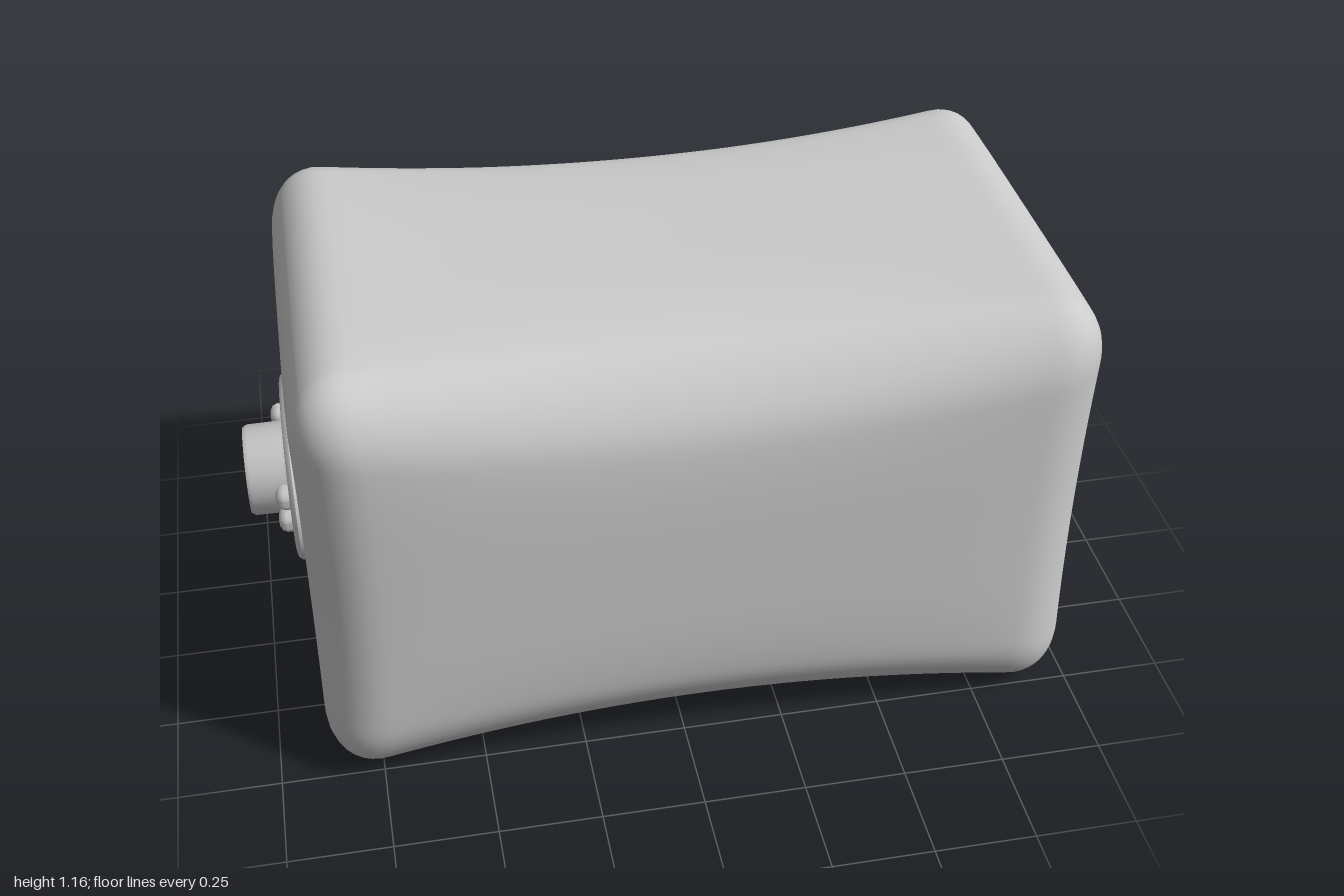
import * as THREE from 'three';
import { mergeVertices, toCreasedNormals } from 'three/addons/utils/BufferGeometryUtils.js';

const material = new THREE.MeshStandardMaterial({ color: 0xcccccc });

function addMesh(parent, name, geometry) {
  const mesh = new THREE.Mesh(geometry, material);
  mesh.name = name;
  parent.add(mesh);
  return mesh;
}

// Soft block with rounded edges that are pinched inwards along their middles
function bodyGeometry() {
  const half = new THREE.Vector3(0.93, 0.587, 0.571);
  const radius = new THREE.Vector3(0.14, 0.18, 0.13);
  const inner = half.clone().sub(radius);
  const box = new THREE.BoxGeometry(half.x * 2, half.y * 2, half.z * 2, 64, 44, 44);
  box.deleteAttribute('uv');
  box.deleteAttribute('normal');
  const geometry = mergeVertices(box);
  const pos = geometry.attributes.position;
  const p = new THREE.Vector3();
  const core = new THREE.Vector3();
  for (let i = 0; i < pos.count; i++) {
    p.fromBufferAttribute(pos, i);
    core.copy(p).clamp(inner.clone().negate(), inner);
    p.sub(core).divide(radius).normalize().multiply(radius).add(core);
    const u = p.x / half.x, v = p.y / half.y, w = p.z / half.z;
    const midX = 1 - u * u, midY = 1 - v * v;
    p.x -= u * midY * 0.02 * w ** 4;
    p.y -= v * midX * (0.022 + 0.06 * w ** 4);
    p.z -= w * (midX * (0.004 + 0.06 * v ** 4) + midY * 0.02 * u ** 6);
    pos.setXYZ(i, p.x, p.y, p.z);
  }
  geometry.computeVertexNormals();
  return geometry;
}

// Turned part whose axis points along -x, from [radius, height] pairs
function turned(profile, segments = 48) {
  const points = profile.map(([r, h]) => new THREE.Vector2(r, h));
  return toCreasedNormals(new THREE.LatheGeometry(points, segments).rotateZ(Math.PI / 2), 0.7);
}

export function createModel() {
  const model = new THREE.Group();
  model.name = 'pillowBlock';

  addMesh(model, 'body', bodyGeometry()).position.set(0.05, 0.587, 0);

  // Low arched pad on the +x end
  const arc = new THREE.Shape();
  arc.moveTo(0.97, 0.33);
  arc.lineTo(0.978, 0.33);
  arc.quadraticCurveTo(1.008, 0.59, 0.978, 0.85);
  arc.lineTo(0.97, 0.85);
  arc.closePath();
  const pad = new THREE.ExtrudeGeometry(arc, {
    depth: 0.1, curveSegments: 24, bevelThickness: 0.012, bevelSize: 0.005, bevelSegments: 3,
  });
  addMesh(model, 'endPad', toCreasedNormals(pad.translate(0, 0, -0.05), 0.6));

  // Flanged spout on the -x end
  const spout = new THREE.Group();
  spout.name = 'spout';
  spout.position.set(0, 0.59, 0);
  model.add(spout);

  // Oval flange with a raised rim
  const flange = turned([
    [1, 0.86], [1, 0.888], [0.97, 0.897], [0.92, 0.9], [0.86, 0.897], [0.82, 0.888], [0, 0.888],
  ], 64);
  addMesh(spout, 'flange', flange).scale.set(1, 0.213, 0.26);

  // Hollow neck with a small fillet at its base
  addMesh(spout, 'neck', turned([
    [0.14, 0.885], [0.122, 0.892], [0.113, 0.91], [0.112, 0.99], [0.106, 1],
    [0.09, 1], [0.083, 0.993], [0.083, 0.9], [0, 0.9],
  ]));

  // Pairs of round-headed studs either side of the neck
  const stud = turned([
    [0.031, 0.88], [0.031, 0.915], [0.026, 0.926], [0.015, 0.932], [0, 0.934],
  ], 20);
  for (const z of [-0.165, 0.165]) {
    for (const y of [-0.034, 0.034]) addMesh(spout, 'stud', stud).position.set(0, y, z);
  }

  return model;
}
